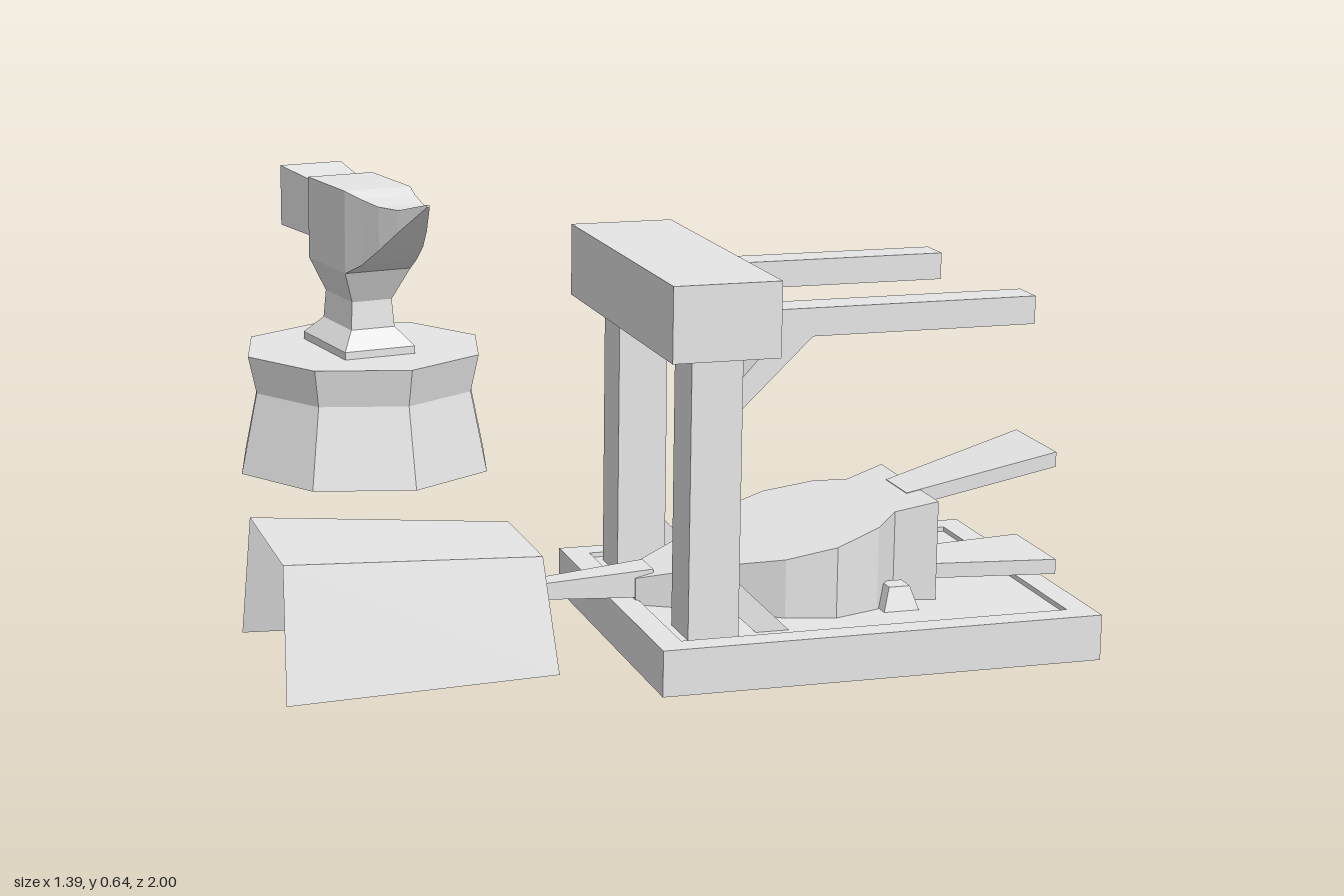
import * as THREE from 'three';

const grey = new THREE.MeshStandardMaterial({ color: 0xe6e6e6, flatShading: true, side: THREE.DoubleSide });
grey.name = 'plain grey';

function add(parent, name, geometry, x = 0, y = 0, z = 0) {
  const mesh = new THREE.Mesh(geometry, grey);
  mesh.name = name;
  mesh.position.set(x, y, z);
  parent.add(mesh);
  return mesh;
}

// Skin over a row of cross-sections, each a list of [x, y, z]
function loft(rings, { closed = true, capStart = false, capEnd = false } = {}) {
  const pos = [];
  const tri = (a, b, c) => pos.push(...a, ...b, ...c);
  const n = rings[0].length;
  for (let i = 0; i + 1 < rings.length; i++) {
    for (let j = 0; j < (closed ? n : n - 1); j++) {
      const k = (j + 1) % n;
      const a = rings[i][j], b = rings[i][k], c = rings[i + 1][k], d = rings[i + 1][j];
      tri(a, b, c);
      tri(a, c, d);
    }
  }
  const last = rings[rings.length - 1];
  for (let j = 1; j + 1 < n; j++) {
    if (capStart) tri(rings[0][0], rings[0][j + 1], rings[0][j]);
    if (capEnd) tri(last[0], last[j], last[j + 1]);
  }
  const g = new THREE.BufferGeometry();
  g.setAttribute('position', new THREE.Float32BufferAttribute(pos, 3));
  g.computeVertexNormals();
  return g;
}

// Level rectangle at height y
const levelRect = (y, hx, z0, z1) => [[hx, y, z1], [hx, y, z0], [-hx, y, z0], [-hx, y, z1]];
// Upright rectangle at depth z
const uprightRect = (z, y0, y1, hx) => [[hx, y0, z], [hx, y1, z], [-hx, y1, z], [-hx, y0, z]];

// Upright prism, symmetric in z, from half an outline; heights are functions of x
function prism(half, bottom, top) {
  const mirrored = half.map(([x, z]) => [x, -z]).reverse();
  const shape = new THREE.Shape([...half, ...mirrored].map(([x, z]) => new THREE.Vector2(x, z)));
  const g = new THREE.ExtrudeGeometry(shape, { depth: 1, bevelEnabled: false });
  g.rotateX(-Math.PI / 2);
  const p = g.attributes.position;
  for (let i = 0; i < p.count; i++) p.setY(i, p.getY(i) > 0.5 ? top(p.getX(i)) : bottom(p.getX(i)));
  g.computeVertexNormals();
  return g;
}

// Side profile in x and y, extruded across z
function bracket(points, width) {
  const shape = new THREE.Shape(points.map(([x, y]) => new THREE.Vector2(x, y)));
  return new THREE.ExtrudeGeometry(shape, { depth: width, bevelEnabled: false }).translate(0, 0, -width / 2);
}

function makeAnvil() {
  const g = new THREE.Group();
  g.name = 'anvilOnStump';
  // Eight-sided stump, open underneath
  const profile = [[0.262, 0], [0.228, 0.16], [0.245, 0.235], [0, 0.235]];
  add(g, 'stump', new THREE.LatheGeometry(profile.map(([r, y]) => new THREE.Vector2(r, y)), 8));
  // Foot, waist and flare
  add(g, 'anvilFoot', loft([
    levelRect(0.235, 0.074, -0.112, 0.108),
    levelRect(0.25, 0.074, -0.112, 0.108),
    levelRect(0.285, 0.046, -0.074, 0.072),
    levelRect(0.34, 0.042, -0.07, 0.068),
    levelRect(0.405, 0.069, -0.09, 0.1),
  ]), -0.009);
  // Heel, face and curved horn
  add(g, 'anvilHead', loft([
    uprightRect(-0.25, 0.445, 0.567, 0.066),
    uprightRect(-0.115, 0.442, 0.555, 0.052),
    uprightRect(-0.09, 0.405, 0.567, 0.069),
    uprightRect(0.1, 0.405, 0.567, 0.069),
    uprightRect(0.155, 0.43, 0.558, 0.057),
    uprightRect(0.215, 0.468, 0.552, 0.046),
    uprightRect(0.27, 0.51, 0.553, 0.03),
    uprightRect(0.345, 0.568, 0.573, 0.003),
  ], { capStart: true, capEnd: true }), -0.009);
  return g;
}

function makeHood() {
  const g = new THREE.Group();
  g.name = 'hood';
  const section = (x0, x1, h, bottom, top) => [[x0, 0, -bottom], [x1, h, -top], [x1, h, top], [x0, 0, bottom]];
  // Three tapering panels, open at the far end
  add(g, 'hoodPanels', loft([
    section(-0.937, -0.93, 0.21, 0.193, 0.142),
    section(-0.491, -0.507, 0.183, 0.15, 0.106),
  ], { closed: false }));
  // Near end wall with an opening for the nozzle
  const V = (x, y) => new THREE.Vector2(x, y);
  const wall = new THREE.Shape([V(-0.15, 0), V(0.15, 0), V(0.106, 0.183), V(-0.106, 0.183)]);
  wall.holes.push(new THREE.Path([V(-0.105, 0.035), V(-0.08, 0.15), V(0.08, 0.15), V(0.105, 0.035)]));
  add(g, 'hoodEndWall', new THREE.ShapeGeometry(wall).rotateX(-0.087).rotateY(Math.PI / 2), -0.491);
  // Raised floor and recessed back wall
  const across = (x, y, half) => [[x, y, -half], [x, y, half]];
  add(g, 'hoodLining', loft([
    across(-0.496, 0.035, 0.14), across(-0.81, 0.035, 0.169), across(-0.81, 0.202, 0.13),
  ], { closed: false }));
  return g;
}

function makeBellows() {
  const g = new THREE.Group();
  g.name = 'bellows';
  const rise = (c, slope = 0.25) => (x) => c + slope * x;
  const flat = (c) => () => c;
  // Pear-shaped body rising toward the handles
  const body = [[-0.33, 0.03], [-0.2, 0.1], [-0.12, 0.16], [-0.04, 0.18], [0.04, 0.152], [0.085, 0.108], [0.153, 0.125]];
  add(g, 'bellowsBody', prism(body, flat(0.065), rise(0.194)));
  const grip = (end) => [[0.13, 0.045], [end, 0.08]];
  add(g, 'upperHandle', prism(grip(0.378), rise(0.17), rise(0.195)));
  add(g, 'lowerHandle', prism(grip(0.385), flat(0.08), flat(0.105)));
  // Nozzle narrowing toward the hood
  add(g, 'nozzle', prism([[-0.56, 0.013], [-0.3, 0.03]], rise(0.067, -0.035), rise(0.149, 0.08)));
  // Wedges holding the body in place
  for (const s of [-1, 1]) {
    add(g, 'wedge', new THREE.CylinderGeometry(0.025, 0.043, 0.04, 4, 1, false, Math.PI / 4), 0.075, 0.085, s * 0.142);
  }
  return g;
}

function makeFrame() {
  const g = new THREE.Group();
  g.name = 'frame';
  // Tray: outer walls, rim and sunken floor, open underneath
  const tray = (y, inset) => levelRect(y, 0.367 - inset, -0.293 + inset, 0.296 - inset);
  add(g, 'tray', loft([tray(0, 0), tray(0.075, 0), tray(0.075, 0.042), tray(0.067, 0.042)], { capEnd: true }));
  add(g, 'topBeam', new THREE.BoxGeometry(0.174, 0.12, 0.555), -0.267, 0.583, 0.005);
  const upper = [[-0.225, 0.425], [-0.1, 0.545], [-0.16, 0.545], [-0.225, 0.475]];
  const lower = [[-0.225, 0.1], [-0.19, 0.067], [-0.135, 0.067], [-0.225, 0.155]];
  for (const s of [-1, 1]) {
    const z = s * 0.19;
    add(g, 'post', new THREE.BoxGeometry(0.083, 0.48, 0.085), -0.265, 0.295, z);
    add(g, 'pole', new THREE.BoxGeometry(0.47, 0.045, 0.06), 0.03, 0.5625, z);
    add(g, 'upperBrace', bracket(upper, 0.058), 0, 0, z);
    add(g, 'lowerBrace', bracket(lower, 0.058), 0, 0, z);
  }
  return g;
}

export function createModel() {
  const model = new THREE.Group();
  model.name = 'smithy';

  const forge = new THREE.Group();
  forge.name = 'forge';
  forge.add(makeFrame(), makeBellows(), makeHood());
  forge.position.set(0.257, 0, 0.607);
  forge.rotation.y = -0.3;

  const anvil = makeAnvil();
  anvil.position.set(0.15, 0, -0.74);
  anvil.rotation.y = -0.12;

  model.add(forge, anvil);
  return model;
}
